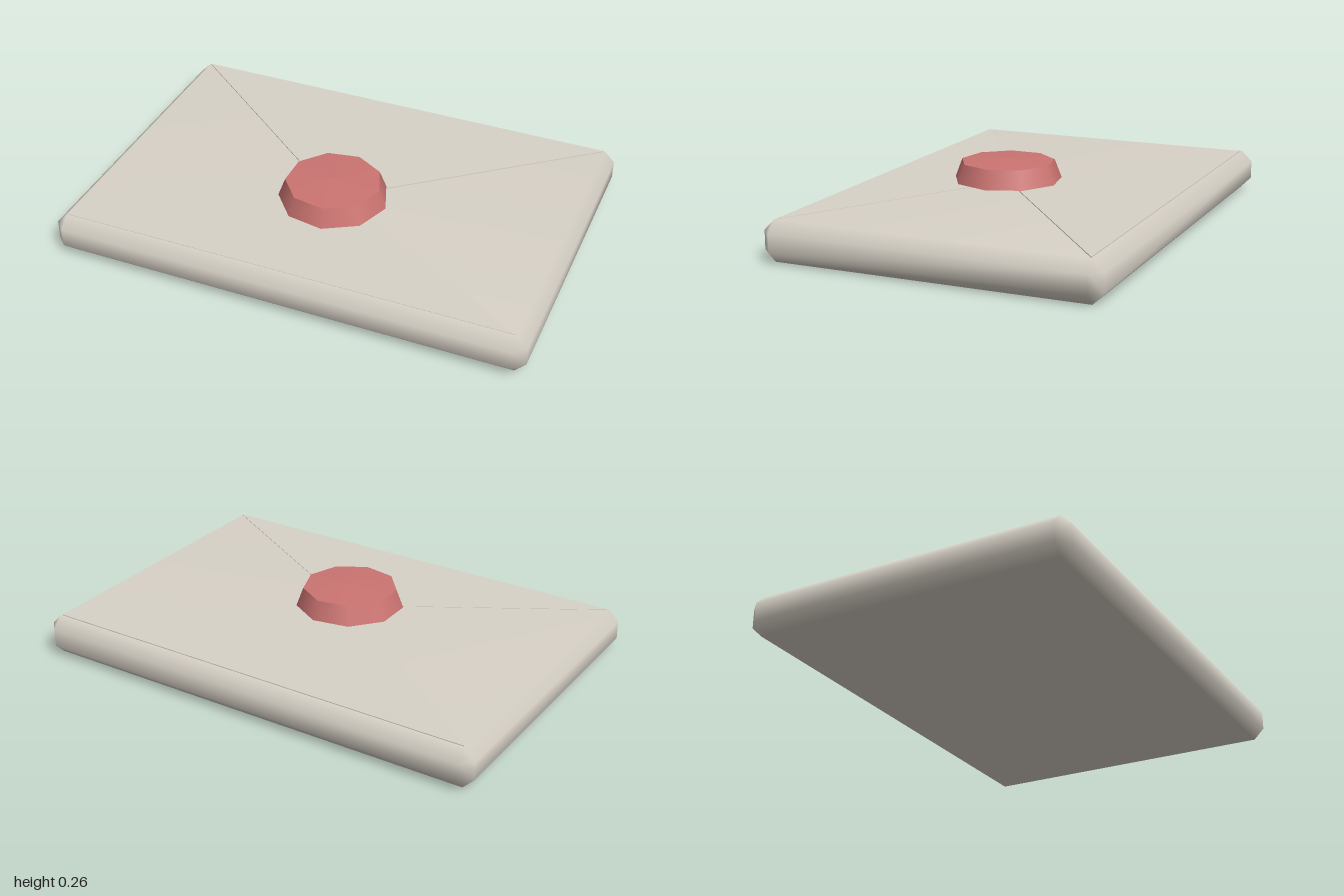
import * as THREE from 'three';
import { ConvexGeometry } from 'three/addons/geometries/ConvexGeometry.js';
import { mergeVertices } from 'three/addons/utils/BufferGeometryUtils.js';

const paper = new THREE.MeshStandardMaterial({ color: 0xd8d2c7 });
paper.name = 'paper';
const wax = new THREE.MeshStandardMaterial({ color: 0xcb7471 });
wax.name = 'sealing wax';

// Box with every edge and corner cut once, shaded softly across the cuts
function chamferedBox(w, h, d, c) {
  const points = [];
  for (const sx of [-1, 1]) for (const sy of [-1, 1]) for (const sz of [-1, 1]) {
    for (let axis = 0; axis < 3; axis++) {
      const cut = [c, c, c];
      cut[axis] = 0;
      points.push(new THREE.Vector3(sx * (w / 2 - cut[0]), sy * (h / 2 - cut[1]), sz * (d / 2 - cut[2])));
    }
  }
  let geometry = new ConvexGeometry(points);
  geometry.deleteAttribute('normal');
  geometry = mergeVertices(geometry, 1e-4);
  geometry.computeVertexNormals();
  return geometry;
}

// Thin triangular paper flap lying flat; corners are [x, z]
function flapGeometry(corners, top, thickness) {
  const shape = new THREE.Shape(corners.map(([x, z]) => new THREE.Vector2(x, -z)));
  const geometry = new THREE.ExtrudeGeometry(shape, { depth: thickness, bevelEnabled: false });
  return geometry.rotateX(-Math.PI / 2).translate(0, top - thickness, 0);
}

export function createModel() {
  const group = new THREE.Group();
  group.name = 'sealedEnvelope';
  const add = (name, geometry, material, parent = group) => {
    const mesh = new THREE.Mesh(geometry, material);
    mesh.name = name;
    parent.add(mesh);
    return mesh;
  };

  // Envelope body
  add('envelopeBody', chamferedBox(2, 0.167, 1.385, 0.045), paper).position.y = 0.0835;

  // Closing flap over the shallower front fold
  add('frontFold', flapGeometry([[-0.95, 0.64], [0.95, 0.64], [0, 0.08]], 0.1685, 0.003), paper);
  add('closingFlap', flapGeometry([[-0.95, -0.64], [0, 0.12], [0.95, -0.64]], 0.1705, 0.005), paper);

  // Nine-sided wax seal with a slightly domed top
  const seal = new THREE.Group();
  seal.name = 'waxSeal';
  seal.position.set(0, 0.171, 0.11);
  seal.rotation.y = Math.PI / 2;
  group.add(seal);
  add('sealRim', new THREE.CylinderGeometry(0.2, 0.23, 0.079, 9, 1, true), wax, seal).position.y = 0.0395;
  const dome = new THREE.ConeGeometry(0.2, 0.01, 9, 1, true);
  add('sealTop', dome, wax, seal).position.y = 0.084;
  const base = new THREE.CircleGeometry(0.23, 9).rotateX(Math.PI / 2).rotateY(Math.PI / 2);
  add('sealBase', base, wax, seal).position.y = 0.0005;

  return group;
}
